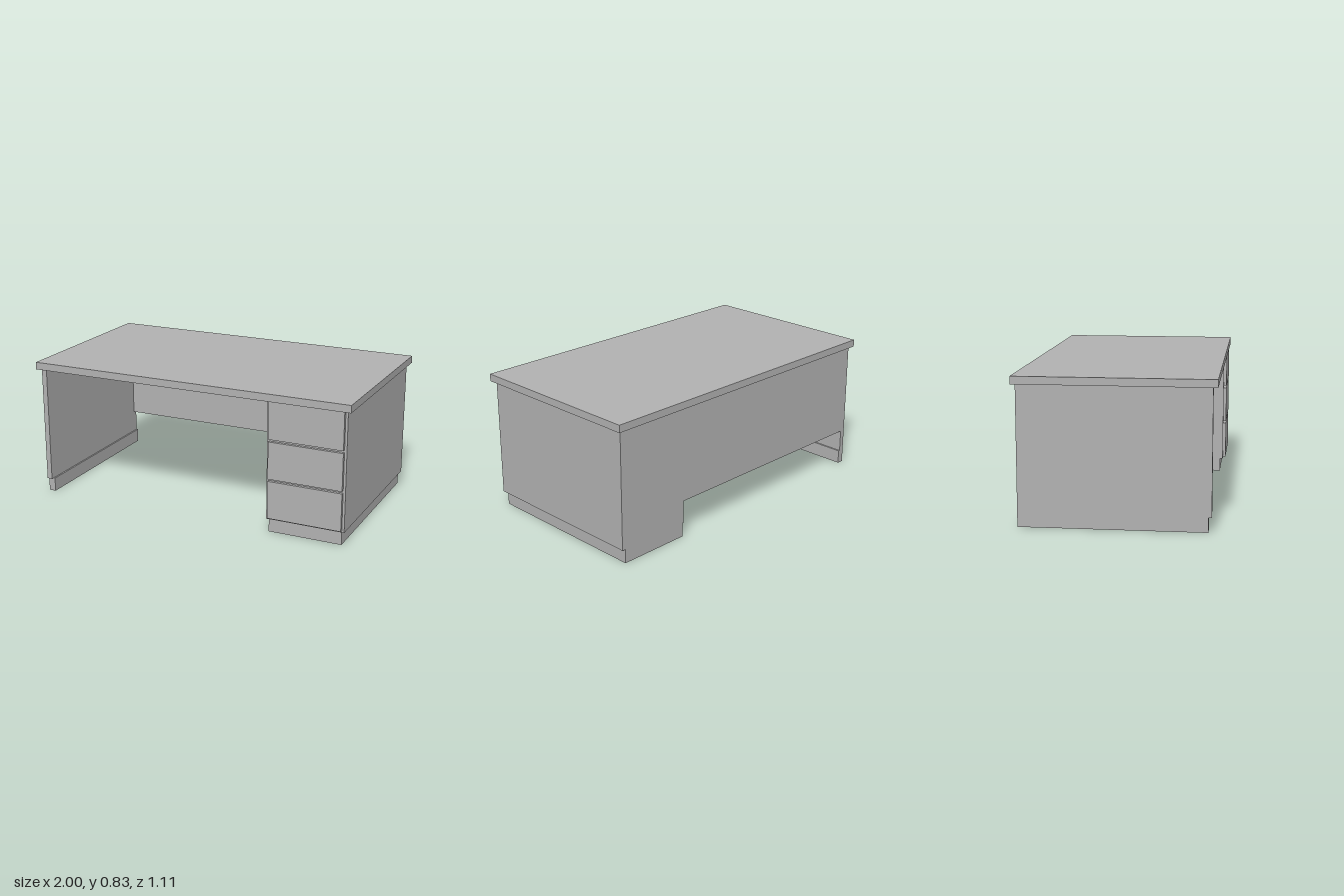
import * as THREE from 'three';

export function createModel() {
  const desk = new THREE.Group();
  desk.name = 'desk';
  const grey = new THREE.MeshStandardMaterial({ color: 0xb2b2b2 });
  grey.name = 'plain grey';

  // Box given by its limits on each axis
  function board(name, [x0, x1], [y0, y1], [z0, z1]) {
    const mesh = new THREE.Mesh(new THREE.BoxGeometry(x1 - x0, y1 - y0, z1 - z0), grey);
    mesh.position.set((x0 + x1) / 2, (y0 + y1) / 2, (z0 + z1) / 2);
    mesh.name = name;
    desk.add(mesh);
  }

  const back = -0.532, front = 0.529;
  const floor = 0.084, under = 0.791;
  const body = [back, front], plinth = [back, 0.511];

  // Worktop
  board('worktop', [-1, 1], [under, 0.835], [-0.555, 0.555]);

  // End panel with its foot, and the panel closing the back
  board('endPanel', [-0.977, -0.945], [floor, under], body);
  board('endFoot', [-0.977, -0.935], [0, floor], plinth);
  board('backPanel', [-0.945, 0.505], [0.221, under], [back, back + 0.03]);

  // Drawer pedestal on a recessed plinth
  board('pedestal', [0.505, 0.975], [floor, under], body);
  board('pedestalPlinth', [0.514, 0.955], [0, floor], plinth);

  // Drawer fronts
  [[0.095, 0.32], [0.333, 0.555], [0.569, under]].forEach((y, i) =>
    board(`drawerFront${i + 1}`, [0.518, 0.961], y, [front, 0.547]));

  return desk;
}
